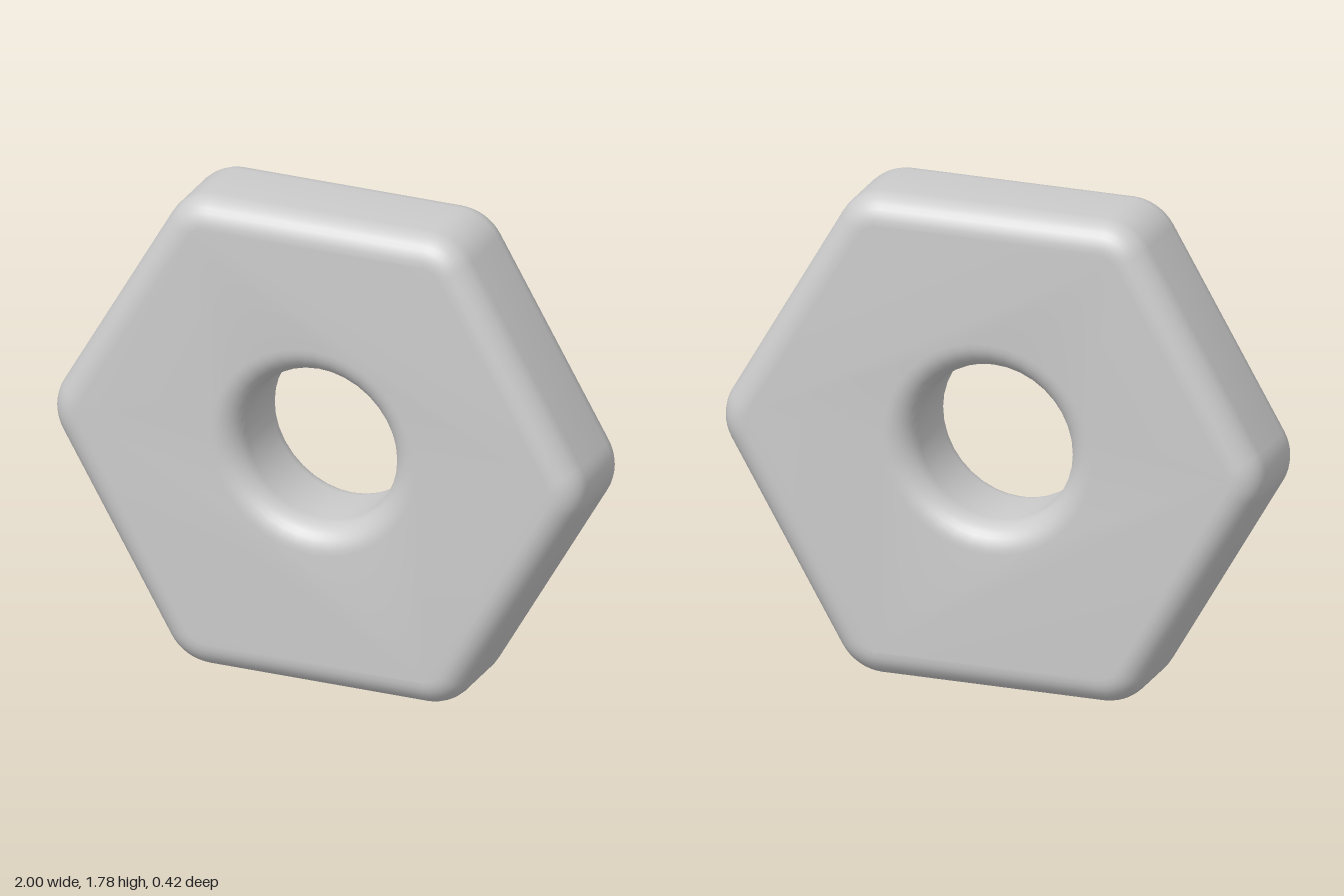
import * as THREE from 'three';
import { toCreasedNormals } from 'three/addons/utils/BufferGeometryUtils.js';

const APOTHEM = 0.892;     // centre to flat side
const CORNER = 0.18;       // rounding of the six corners
const HOLE = 0.289;        // bore radius
const HOLE_Y = 0.013;      // bore sits slightly above the middle
const DEPTH = 0.42;
const BEVEL = 0.1;         // rounding of all front and back edges

// Points along an arc, counter-clockwise from a0 to a1
function arc(cx, cy, r, a0, a1, steps, closed) {
  const pts = [];
  for (let i = 0; i < steps + (closed ? 0 : 1); i++) {
    const a = a0 + (a1 - a0) * i / steps;
    pts.push(new THREE.Vector2(cx + r * Math.cos(a), cy + r * Math.sin(a)));
  }
  return pts;
}

// Hexagon with rounded corners, one corner pointing along +x
function roundedHexagon() {
  const reach = (APOTHEM - CORNER) / Math.cos(Math.PI / 6);
  const pts = [];
  for (let k = 0; k < 6; k++) {
    const a = k * Math.PI / 3;
    pts.push(...arc(reach * Math.cos(a), reach * Math.sin(a), CORNER,
      a - Math.PI / 6, a + Math.PI / 6, 8, false));
  }
  return new THREE.Shape(pts);
}

export function createModel() {
  const group = new THREE.Group();
  group.name = 'hexNut';

  // Hexagonal body with a round bore
  const shape = roundedHexagon();
  shape.holes.push(new THREE.Path(arc(0, HOLE_Y, HOLE, 0, Math.PI * 2, 36, true)));
  const geometry = new THREE.ExtrudeGeometry(shape, {
    depth: DEPTH - 2 * BEVEL,
    bevelEnabled: true,
    bevelThickness: BEVEL,
    bevelSize: BEVEL,
    bevelOffset: -BEVEL,
    bevelSegments: 8,
  });
  geometry.translate(0, APOTHEM, -(DEPTH / 2 - BEVEL));

  const body = new THREE.Mesh(
    toCreasedNormals(geometry, Math.PI / 5),
    new THREE.MeshStandardMaterial({ color: 0xcccccc }),
  );
  body.name = 'nutBody';
  group.add(body);
  return group;
}
